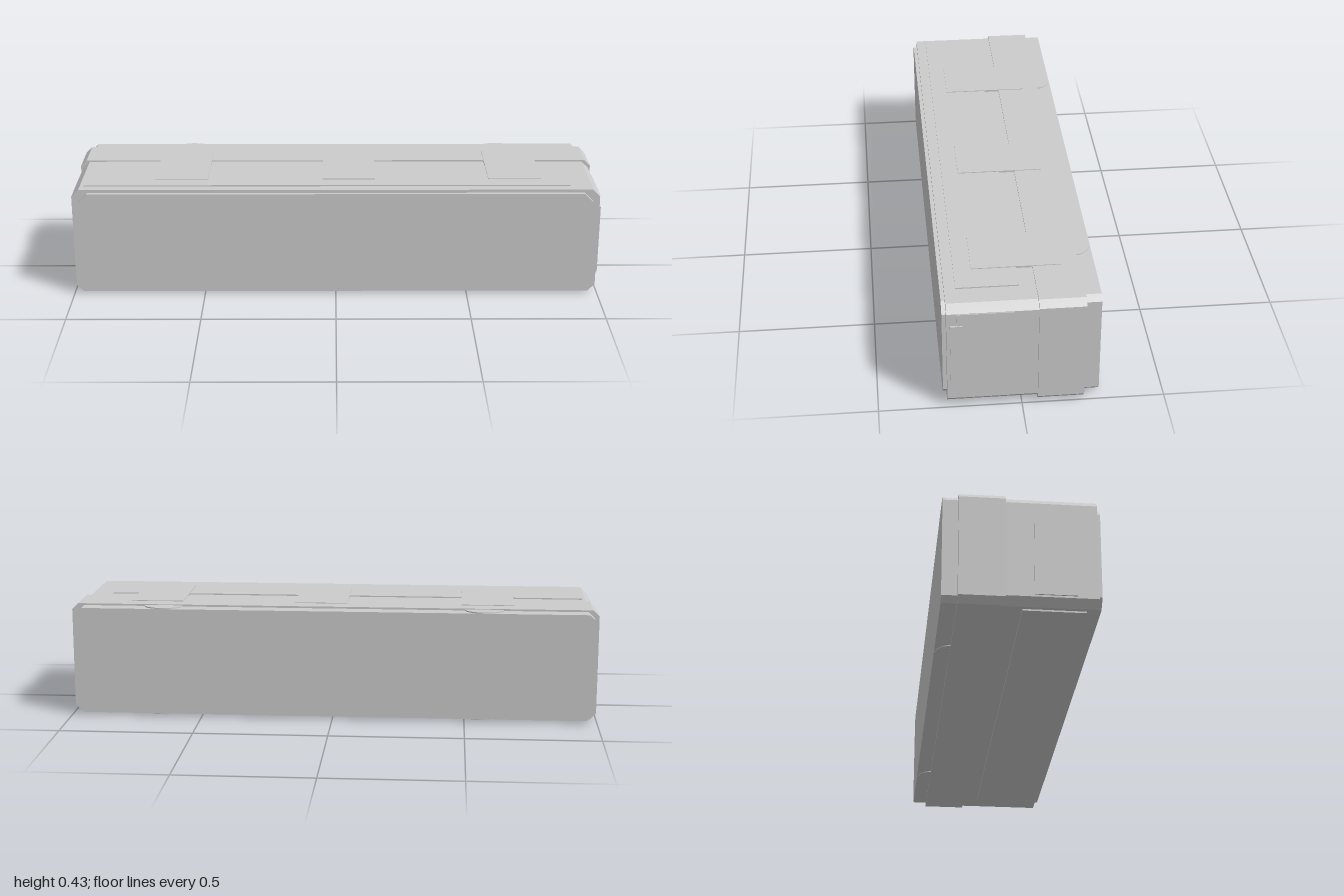
import * as THREE from 'three';

const material = new THREE.MeshStandardMaterial({ color: 0xcccccc, flatShading: true });

export function createModel() {
  const model = new THREE.Group();

  const add = (name, geometry) => {
    const mesh = new THREE.Mesh(geometry, material);
    mesh.name = name;
    model.add(mesh);
    return mesh;
  };

  // Slab running along z whose front outline is a rectangle with cut corners
  const slab = (name, x0, x1, y0, y1, z0, z1, c) => {
    const outline = new THREE.Shape([
      [x0 + c, y0], [x1 - c, y0], [x1, y0 + c], [x1, y1 - c],
      [x1 - c, y1], [x0 + c, y1], [x0, y1 - c], [x0, y0 + c],
    ].map(([x, y]) => new THREE.Vector2(x, y)));
    const geometry = new THREE.ExtrudeGeometry(outline, { depth: z1 - z0, bevelEnabled: false });
    geometry.translate(0, 0, z0);
    return add(name, geometry);
  };

  // Plain box given by its limits
  const plate = (name, x0, x1, y0, y1, z0, z1) => {
    const geometry = new THREE.BoxGeometry(x1 - x0, y1 - y0, z1 - z0);
    geometry.translate((x0 + x1) / 2, (y0 + y1) / 2, (z0 + z1) / 2);
    return add(name, geometry);
  };

  // Body layers from front to back
  slab('frontPanel', -0.966, 0.966, 0.02, 0.408, 0.259, 0.273, 0.033);
  slab('mainBody', -0.992, 0.992, 0.006, 0.42, -0.056, 0.259, 0.027);
  slab('raisedBand', -1, 1, 0.002, 0.425, -0.218, -0.056, 0.023);
  slab('rearPanel', -0.98, 0.972, 0.01, 0.418, -0.273, -0.218, 0.02);

  // Long shallow plates above and below
  plate('topPlate', -0.95, 0.885, 0.41, 0.4245, 0.002, 0.22);
  plate('bottomPlate', -0.95, 0.885, 0, 0.015, 0.002, 0.22);

  // Three square pads along the top
  for (const x of [-0.585, 0.05, 0.68]) {
    plate('topPad', x - 0.1, x + 0.1, 0.41, 0.4275, -0.158, 0.158);
  }

  // Side covers and the grip strip
  plate('leftCover', 0.98, 0.995, 0.035, 0.391, 0.027, 0.223);
  plate('leftStrip', 0.98, 0.999, 0.081, 0.345, 0.205, 0.247);
  plate('rightCover', -0.997, -0.98, 0.04, 0.385, 0.04, 0.185);

  // Rounded tabs at the rear edge, above and below
  for (const x of [-0.57, 0.645]) {
    for (const y of [0.415, 0.013]) {
      const tab = add('rearTab', new THREE.CylinderGeometry(0.073, 0.073, 0.014, 24, 1, false, Math.PI / 2, Math.PI));
      tab.scale.z = 0.74;
      tab.position.set(x, y, -0.218);
    }
  }

  return model;
}
